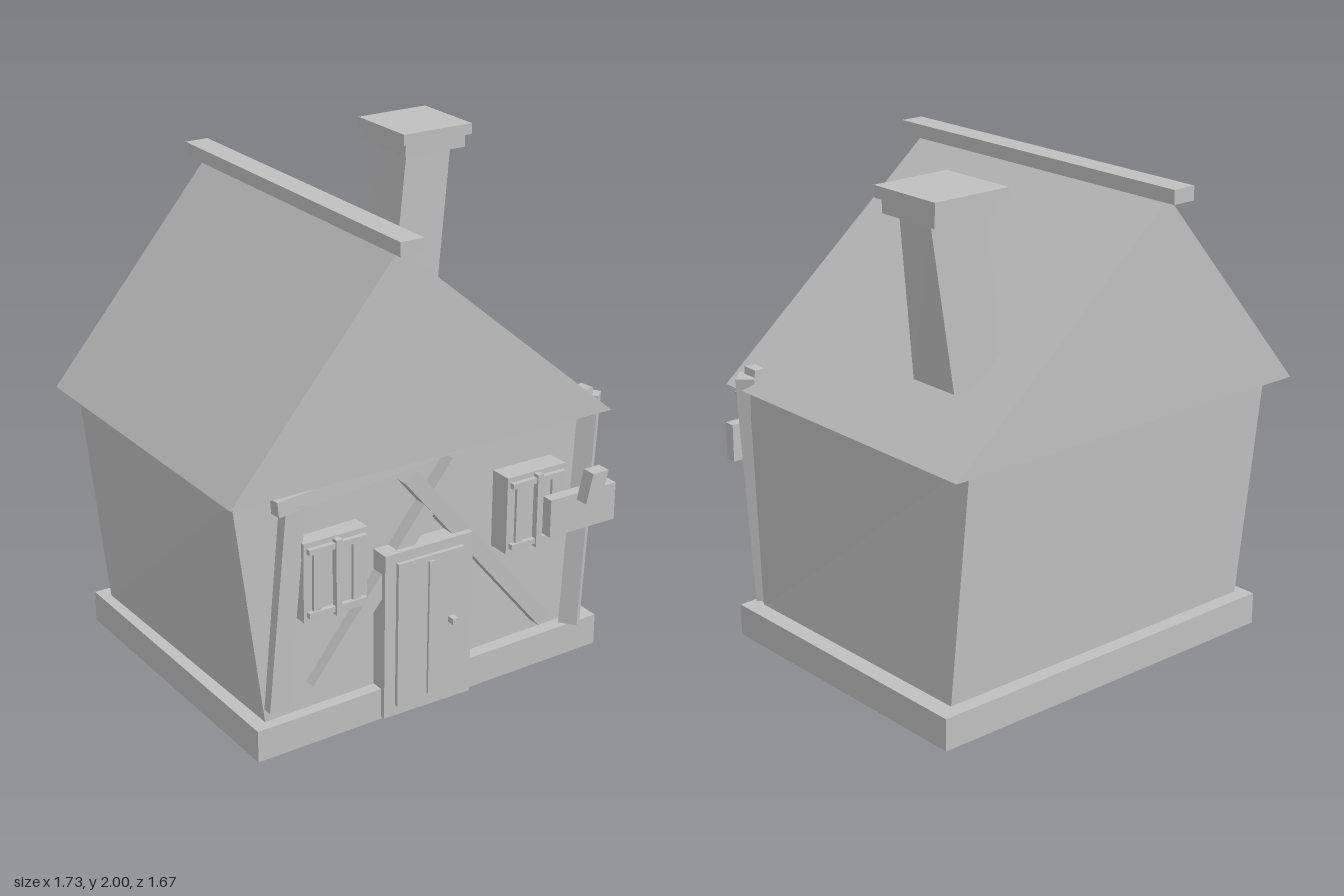
import * as THREE from 'three';

const stone = new THREE.MeshStandardMaterial({ color: 0xbfbfbf });
stone.name = 'plainGrey';

export function createModel() {
  const house = new THREE.Group();
  house.name = 'cottage';

  const add = (name, geo, parent = house) => {
    const m = new THREE.Mesh(geo, stone);
    m.name = name;
    parent.add(m);
    return m;
  };

  // Axis-aligned block given by its limits
  const block = (name, x0, x1, y0, y1, z0, z1, parent) => {
    const m = add(name, new THREE.BoxGeometry(x1 - x0, y1 - y0, z1 - z0), parent);
    m.position.set((x0 + x1) / 2, (y0 + y1) / 2, (z0 + z1) / 2);
    return m;
  };

  // Six-sided solid between two quads, corners: front-left of view, front-right, back-right, back-left
  const loft = (name, b, t) => {
    const pos = [];
    const quad = (p, q, r, s) => [p, q, r, p, r, s].forEach(v => pos.push(...v));
    for (let i = 0; i < 4; i++) {
      const j = (i + 1) % 4;
      quad(b[i], b[j], t[j], t[i]);
    }
    quad(...t);
    quad(b[3], b[2], b[1], b[0]);
    const g = new THREE.BufferGeometry();
    g.setAttribute('position', new THREE.Float32BufferAttribute(pos, 3));
    g.computeVertexNormals();
    return add(name, g);
  };

  // Timber running from point p to point q
  const timber = (name, p, q, w, d, turn = 0) => {
    const a = new THREE.Vector3(...p), b = new THREE.Vector3(...q);
    const dir = b.clone().sub(a);
    const g = new THREE.BoxGeometry(w, dir.length(), d).rotateY(turn);
    const m = add(name, g);
    m.position.copy(a).add(b).multiplyScalar(0.5);
    m.quaternion.setFromUnitVectors(new THREE.Vector3(0, 1, 0), dir.normalize());
    return m;
  };

  // Foundation, slightly out of square
  const plan = [[-0.765, 0.617], [0.855, 0.57], [0.855, -0.707], [-0.765, -0.707]];
  loft('foundation', plan.map(([x, z]) => [x, 0, z]), plan.map(([x, z]) => [x, 0.13, z]));

  // Crooked walls
  loft('walls',
    [[-0.705, 0.12, 0.57], [0.785, 0.12, 0.51], [0.78, 0.12, -0.645], [-0.72, 0.12, -0.645]],
    [[-0.83, 1.055, 0.57], [0.825, 1.055, 0.495], [0.71, 1.055, -0.675], [-0.81, 1.055, -0.675]]);

  // Solid gable roof and ridge
  const gable = new THREE.Shape([
    new THREE.Vector2(-0.862, 1.05), new THREE.Vector2(0.847, 1.05), new THREE.Vector2(-0.155, 1.89)]);
  add('roof', new THREE.ExtrudeGeometry(gable, { depth: 1.382, bevelEnabled: false }))
    .position.z = -0.765;
  block('ridgeCap', -0.205, -0.105, 1.885, 1.94, -0.84, 0.692);

  // Leaning chimney with a stepped cap
  loft('chimneyStack',
    [[0.447, 1.275, -0.32], [0.67, 1.275, -0.32], [0.67, 1.275, -0.545], [0.447, 1.275, -0.545]],
    [[0.515, 1.91, -0.325], [0.73, 1.91, -0.325], [0.77, 1.91, -0.545], [0.515, 1.91, -0.545]]);
  block('chimneyCollar', 0.487, 0.777, 1.9, 1.955, -0.575, -0.29);
  block('chimneyCap', 0.465, 0.795, 1.955, 2, -0.6, -0.27);

  // Timber frame on the front wall
  timber('leftPost', [-0.667, 0.18, 0.575], [-0.588, 1.0, 0.575], 0.083, 0.07);
  timber('rightPost', [0.735, 0.13, 0.553], [0.812, 1.1, 0.525], 0.075, 0.075, 0.72);
  timber('lintelBeam', [-0.665, 1.0, 0.58], [0.805, 1.1, 0.518], 0.06, 0.065);
  timber('crossBraceA', [-0.495, 0.22, 0.58], [0.137, 0.99, 0.56], 0.065, 0.06);
  timber('crossBraceB', [0.585, 0.19, 0.55], [-0.085, 0.985, 0.575], 0.065, 0.06);

  // Door
  const door = new THREE.Group();
  door.name = 'door';
  house.add(door);
  block('doorFrame', -0.21, 0.19, 0.01, 0.7, 0.54, 0.622, door);
  block('doorPanel', -0.16, 0.14, 0.055, 0.66, 0.6, 0.638, door);
  block('doorStrip', -0.025, 0, 0.075, 0.64, 0.63, 0.648, door);
  block('doorKnob', 0.07, 0.095, 0.355, 0.38, 0.63, 0.672, door);

  // Two matching windows
  [['rightWindow', -0.43, 0.688], ['leftWindow', 0.485, 0.722]].forEach(([name, x, y]) => {
    const w = new THREE.Group();
    w.name = name;
    w.position.set(x, y, 0);
    house.add(w);
    block('windowFrame', -0.138, 0.138, -0.16, 0.16, 0.53, 0.625, w);
    for (const s of [-1, 1]) {
      block('crossBar', -0.125, 0.125, s * 0.128 - 0.011, s * 0.128 + 0.011, 0.62, 0.645, w);
      block('sideBar', s * 0.085 - 0.017, s * 0.085 + 0.017, -0.12, 0.12, 0.62, 0.638, w);
    }
    block('middleBar', -0.013, 0.013, -0.153, 0.153, 0.62, 0.652, w);
  });

  // Loose boards in front of the window
  block('looseBoard', 0.44, 0.752, 0.67, 0.825, 0.727, 0.775);
  loft('tiltedBoard',
    [[0.563, 0.8, 0.832], [0.635, 0.8, 0.832], [0.635, 0.8, 0.775], [0.563, 0.8, 0.775]],
    [[0.592, 0.92, 0.832], [0.665, 0.92, 0.832], [0.665, 0.92, 0.775], [0.592, 0.92, 0.775]]);

  return house;
}
